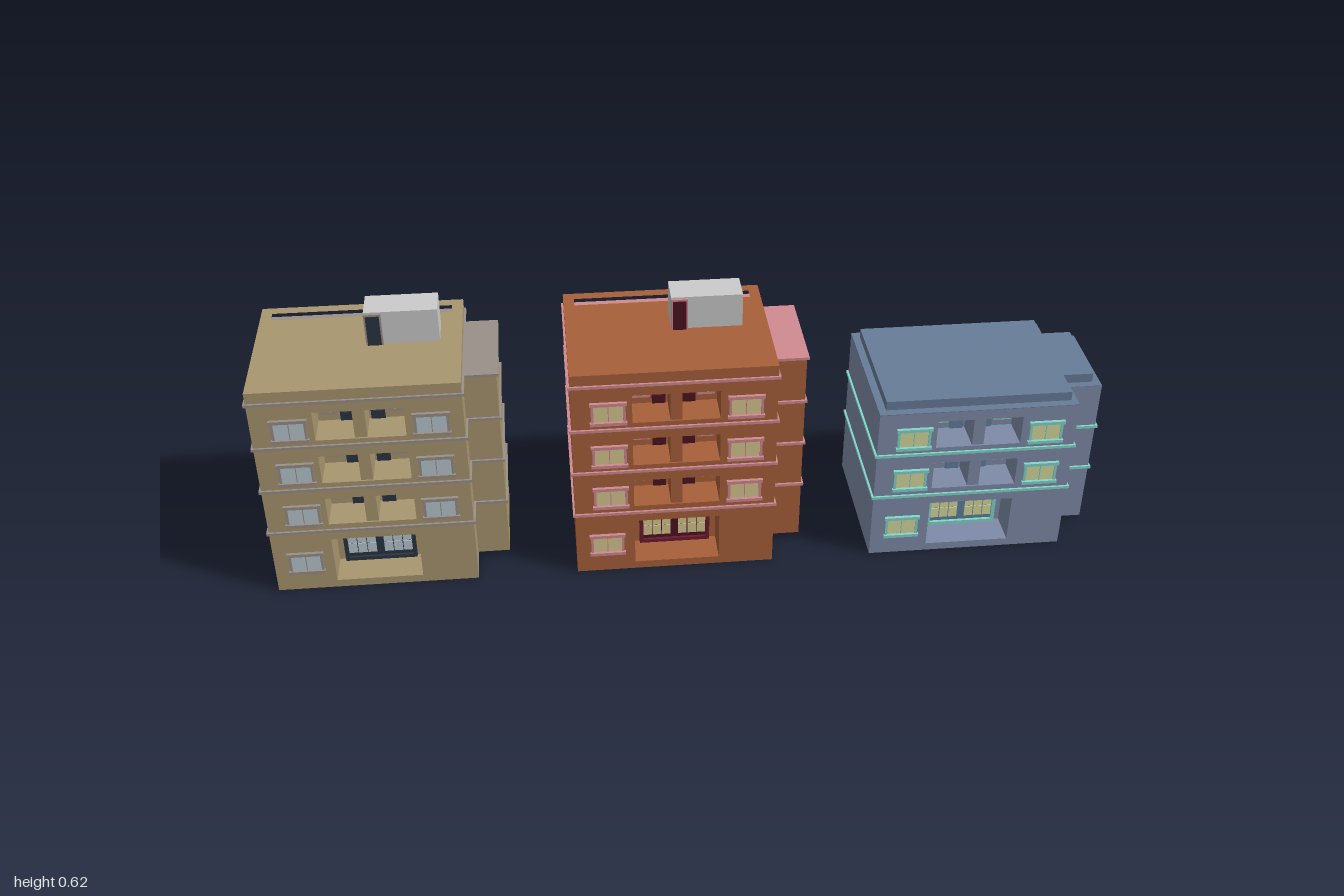
import * as THREE from 'three';

// Dimensions shared by all three buildings; local x runs from the left wall
const W = 0.477, WING = 0.554, D = 0.185, RECESS = 0.08, SKIN = 0.02, CX = 0.243;
const FLOORS = [0.19, 0.31, 0.43];
const LEDGES = [0.169, 0.291, 0.411, 0.531];

const mat = (color) => new THREE.MeshStandardMaterial({ color, flatShading: true });

function add(parent, name, geometry, material) {
  const mesh = new THREE.Mesh(geometry, material);
  mesh.name = name;
  parent.add(mesh);
  return mesh;
}

// Box given by its lower and upper corners
function box(parent, name, material, [x0, y0, z0], [x1, y1, z1]) {
  const g = new THREE.BoxGeometry(x1 - x0, y1 - y0, z1 - z0);
  g.translate((x0 + x1) / 2, (y0 + y1) / 2, (z0 + z1) / 2);
  return add(parent, name, g, material);
}

const poly = (pts) => pts.map(([x, y]) => new THREE.Vector2(x, y));
const rect = (x0, y0, x1, y1) => poly([[x0, y0], [x1, y0], [x1, y1], [x0, y1]]);

function extrude(points, holes, depth) {
  const shape = new THREE.Shape(points);
  shape.holes = holes.map((h) => new THREE.Path(h));
  return new THREE.ExtrudeGeometry(shape, { depth, bevelEnabled: false });
}

// Plan outline (x, z) raised from y0 to y1
function prism(points, holes, y0, y1) {
  const flip = (ps) => ps.map((p) => new THREE.Vector2(p.x, -p.y));
  const g = extrude(flip(points), holes.map(flip), y1 - y0);
  return g.rotateX(-Math.PI / 2).translate(0, y0, 0);
}

// L-shaped outline of main block and side wing, grown by e
const plan = (e) => poly([
  [-e, -D - e], [W + e, -D - e], [W + e, -0.12 - e], [WING + e, -0.12 - e],
  [WING + e, 0.11 + e], [W + e, 0.11 + e], [W + e, D + e], [-e, D + e],
]);

// Window with frame, glazing bar, sill and lintel, facing +z from z = 0
function makeWindow(m, w, h, name = 'window', caps = true) {
  const g = new THREE.Group();
  g.name = name;
  const f = 0.006;
  add(g, 'windowFrame', extrude(rect(-w / 2, 0, w / 2, h), [rect(-w / 2 + f, f, w / 2 - f, h - f)], 0.004), m.trim);
  box(g, 'glass', m.glass, [-w / 2 + f, f, -0.002], [w / 2 - f, h - f, 0.001]);
  box(g, 'glazingBar', m.trim, [-0.001, f, 0], [0.001, h - f, 0.0025]);
  if (caps) {
    for (const y of [0, h - 0.007]) {
      box(g, 'windowSill', m.trim, [-w / 2 - 0.003, y, 0], [w / 2 + 0.003, y + 0.008, 0.008]);
    }
  }
  return g;
}

function place(parent, object, x, y, z, back = false) {
  object.position.set(x, y, z);
  if (back) object.rotation.y = Math.PI;
  parent.add(object);
}

// Recessed balcony with a middle pillar, two doors and two small windows
function balcony(b, m, y) {
  const z = D - RECESS;
  box(b, 'balconyPillar', m.wall, [CX - 0.014, y, z], [CX + 0.014, y + 0.075, D - 0.004]);
  for (const s of [-1, 1]) {
    const cx = CX + s * 0.035;
    box(b, 'balconyDoor', m.door, [cx - 0.016, y, z], [cx + 0.016, y + 0.063, z + 0.004]);
    box(b, 'balconyDoorGlass', m.doorGlass, [cx - 0.011, y + 0.022, z], [cx + 0.011, y + 0.056, z + 0.005]);
    place(b, makeWindow(m, 0.042, 0.045, 'balconyWindow', false), CX + s * 0.076, y + 0.018, z);
  }
}

// Recessed entrance with a framed double glass door
function entrance(b, m) {
  const z = D - RECESS, y0 = 0.022, y1 = 0.127, hw = 0.086, f = 0.009;
  add(b, 'entranceFrame', extrude(
    rect(CX - hw, y0, CX + hw, y1), [rect(CX - hw + f, y0 + f, CX + hw - f, y1 - f)], 0.012,
  ).translate(0, 0, z), m.entrance);
  box(b, 'entranceDoor', m.door, [CX - hw + f, y0 + f, z], [CX + hw - f, y1 - f, z + 0.005]);
  for (const s of [-1, 1]) {
    for (let col = 0; col < 3; col++) {
      for (let row = 0; row < 2; row++) {
        const x = CX + s * (0.02 + col * 0.023), y = 0.056 + row * 0.03;
        box(b, 'entrancePane', m.glass, [x - 0.0105, y - 0.014, z], [x + 0.0105, y + 0.014, z + 0.007]);
      }
    }
  }
  const floor = new THREE.PlaneGeometry(0.204, RECESS).rotateX(-Math.PI / 2);
  add(b, 'entranceFloor', floor.translate(CX, 0.02, D - RECESS / 2), m.wall);
}

function building(name, x, c, upperFloors) {
  const b = new THREE.Group();
  b.name = name;
  b.position.x = x;
  const m = {};
  for (const k in c) m[k] = mat(c[k]);
  const tall = upperFloors === 3;
  const top = tall ? 0.535 : 0.411;
  const floors = FLOORS.slice(0, upperFloors);
  const ex0 = CX - 0.102, ex1 = CX + 0.102;
  const bays = floors.map((y) => rect(ex0, y, ex1, y + 0.075));

  // Main block: solid rear, recess layer open below the entrance, front skin
  box(b, 'mainBlock', m.wall, [0, 0, -D], [W, top, D - RECESS]);
  const notched = poly([[0, 0], [ex0, 0], [ex0, 0.145], [ex1, 0.145], [ex1, 0], [W, 0], [W, top], [0, top]]);
  add(b, 'recessWalls', extrude(notched, bays, RECESS - SKIN).translate(0, 0, D - RECESS), m.wall);
  add(b, 'frontWall', extrude(rect(0, 0, W, top), [...bays, rect(ex0, 0.02, ex1, 0.145)], SKIN)
    .translate(0, 0, D - SKIN), m.wall);
  box(b, 'sideWing', m.wall, [W, 0.02, -0.12], [WING, top, 0.11]);

  // Ledges wrapping the walls at each storey; hollow so the recesses stay clear
  const inner = rect(0.01, -D + 0.01, W - 0.01, D - 0.01);
  for (const y of LEDGES.slice(0, tall ? 4 : 2)) {
    add(b, 'storeyLedge', prism(plan(0.005), [inner], y, y + 0.007), m.trim);
  }

  // Front and back openings
  for (const y of floors) {
    for (const wx of [0.086, 0.404]) place(b, makeWindow(m, 0.08, 0.06), wx, y, D);
    for (const wx of [0.18, 0.305]) place(b, makeWindow(m, 0.08, 0.06), wx, y, -D, true);
    balcony(b, m, y);
  }
  place(b, makeWindow(m, 0.08, 0.06), 0.075, 0.05, D);
  place(b, makeWindow(m, 0.08, 0.06), 0.39, 0.05, -D, true);
  entrance(b, m);

  if (tall) {
    // Parapet and rooftop stair house
    const t = 0.026;
    add(b, 'parapet', prism(rect(0, -D, W, D), [rect(t, -D + t, W - t, D - t)], top, 0.565), m.wall);
    box(b, 'stairHouse', mat(0xcccccc), [0.252, top, -0.127], [0.423, 0.62, -0.048]);
    box(b, 'stairHouseDoorFrame', m.trim, [0.252, top, -0.048], [0.292, 0.617, -0.042]);
    box(b, 'stairHouseDoor', m.door, [0.256, top, -0.048], [0.288, 0.612, -0.041]);
  } else {
    // Stepped-in flat roof slab
    const slab = poly([
      [0.018, -0.165], [0.462, -0.165], [0.462, -0.1], [0.535, -0.1],
      [0.535, 0.092], [0.462, 0.092], [0.462, 0.165], [0.018, 0.165],
    ]);
    add(b, 'roofSlab', prism(slab, [], top, 0.435), m.roof);
    add(b, 'roofDeck', prism(plan(0), [], top - 0.001, top + 0.001), m.roof);
  }
  return b;
}

export function createModel() {
  const group = new THREE.Group();
  group.name = 'apartmentBuildings';
  group.add(
    building('tanBuilding', -0.995, {
      wall: 0xa8966f, trim: 0x9a9088, glass: 0xb8c8d0, door: 0x2b3442, doorGlass: 0x3a4658, entrance: 0x2b3442,
    }, 3),
    building('brickBuilding', -0.278, {
      wall: 0xa85f3a, trim: 0xd08a90, glass: 0xd8c890, door: 0x4a1420, doorGlass: 0x5a1c28, entrance: 0x6a1c30,
    }, 3),
    building('blueBuilding', 0.441, {
      wall: 0x7f8ca8, trim: 0x84d8cc, glass: 0xd8dca0, door: 0x5f7f9c, doorGlass: 0x7fa0b4, entrance: 0x84d8cc, roof: 0x687d98,
    }, 2),
  );
  return group;
}
